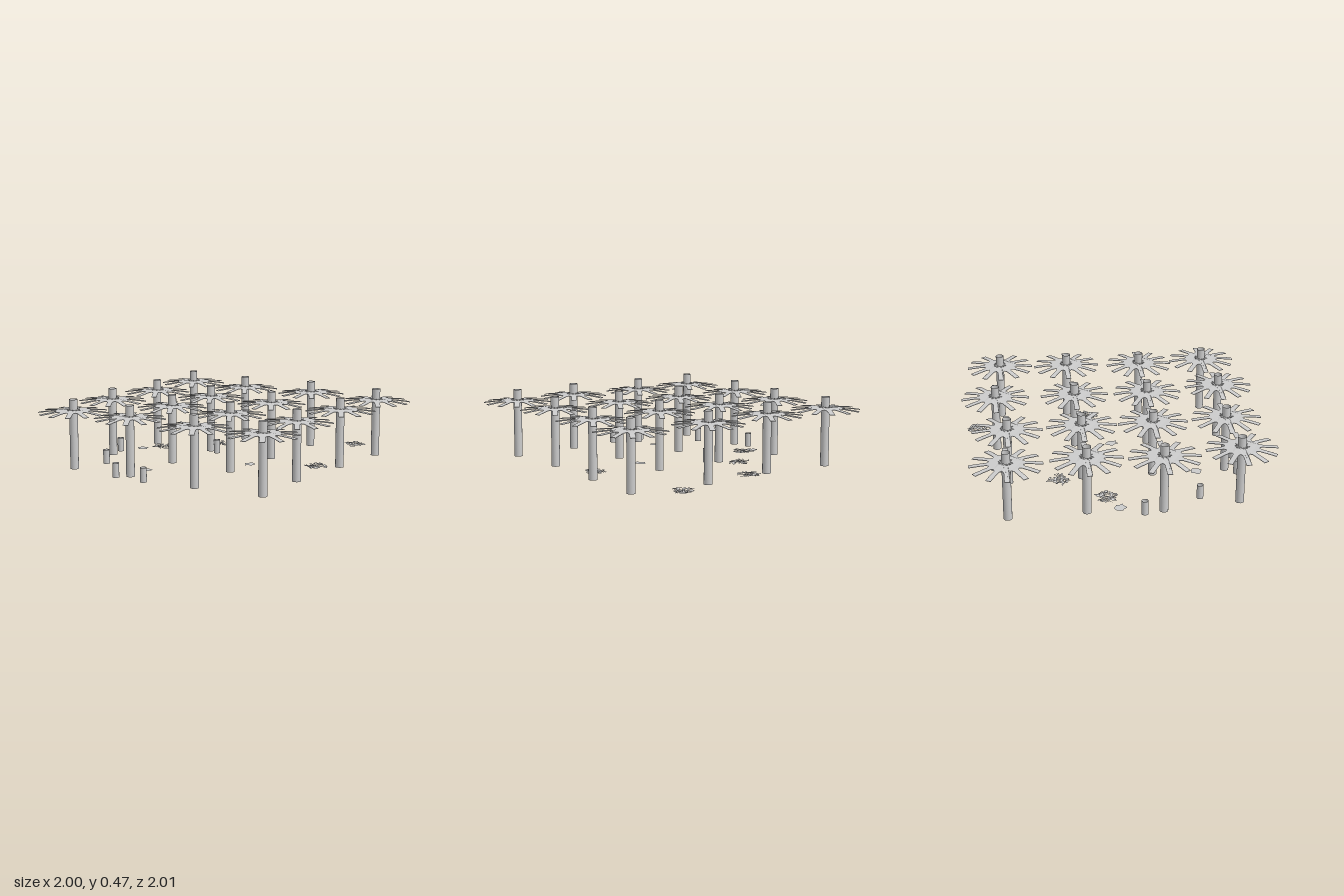
import * as THREE from 'three';
import { mergeGeometries } from 'three/addons/utils/BufferGeometryUtils.js';

const TRUNK_R = 0.028, TRUNK_H = 0.465, LEAF_R = 0.23;

// centres as [x, z]
const TREES = [
  [-0.765, -0.74], [-0.29, -0.715], [0.225, -0.775], [0.765, -0.725],
  [-0.74, -0.24], [-0.27, -0.23], [0.22, -0.235], [0.74, -0.25],
  [-0.77, 0.245], [-0.27, 0.24], [0.21, 0.265], [0.71, 0.27],
  [-0.705, 0.745], [-0.255, 0.73], [0.27, 0.77], [0.74, 0.73],
];
const STUMPS = [[-0.80, 0.12], [-0.63, 0.5], [-0.32, 0.8], [-0.09, 0.815], [-0.195, -0.19]];
const HEAPS = [[0.515, -0.905], [-0.11, -0.76], [-0.32, -0.385], [0.64, -0.11], [-0.585, -0.10]];
const FLAT_LEAVES = [[-0.71, -0.03], [0.21, 0.02], [-0.27, 0.54]];

function seeded(seed) {
  return () => {
    seed = (seed * 16807) % 2147483647;
    return seed / 2147483647;
  };
}

// Twelve-armed crown: one outline with rounded notches, bowed down to the tips
function crownGeometry() {
  const arms = 12, half = 0.0175, notch = 0.108, steps = 5;
  const pts = [];
  for (let i = 0; i < arms; i++) {
    const a = (i / arms) * Math.PI * 2;
    const put = (u, v) => pts.push(new THREE.Vector2(
      u * Math.cos(a) - v * Math.sin(a), u * Math.sin(a) + v * Math.cos(a)));
    const start = notch + 0.014;
    for (let s = 0; s <= steps; s++) put(start + (LEAF_R - start) * s / steps, -half);
    for (let s = steps; s >= 0; s--) put(start + (LEAF_R - start) * s / steps, half);
    const b = a + Math.PI / arms;
    pts.push(new THREE.Vector2(notch * Math.cos(b), notch * Math.sin(b)));
  }
  const shape = new THREE.Shape(pts);
  shape.holes.push(new THREE.Path().absarc(0, 0, TRUNK_R - 0.002, 0, Math.PI * 2, true));
  const geo = new THREE.ExtrudeGeometry(shape, { depth: 0.003, bevelEnabled: false, curveSegments: 8 });
  geo.rotateX(-Math.PI / 2);
  const p = geo.attributes.position;
  for (let i = 0; i < p.count; i++) {
    const r = Math.hypot(p.getX(i), p.getZ(i)) / LEAF_R;
    p.setY(i, p.getY(i) + 0.391 - 0.016 * r * r);
  }
  geo.computeVertexNormals();
  return geo;
}

// Ragged collar of short scales where the crown meets the trunk
function collarGeometry() {
  const rand = seeded(41), scales = [];
  for (let i = 0; i < 10; i++) {
    const g = new THREE.ConeGeometry(0.009, 0.026, 4);
    g.rotateZ(-1.25 + (rand() - 0.5) * 0.5);
    g.translate(TRUNK_R + 0.008, 0.392 + rand() * 0.004, 0);
    g.rotateY((i + rand() * 0.5) / 10 * Math.PI * 2);
    scales.push(g);
  }
  return mergeGeometries(scales);
}

// Loose heap of thin curled shards
function heapGeometry(seed) {
  const rand = seeded(seed), shards = [];
  for (let i = 0; i < 60; i++) {
    const g = new THREE.PlaneGeometry(0.022 + rand() * 0.024, 0.006 + rand() * 0.008, 2, 1);
    const p = g.attributes.position;
    for (let k = 0; k < p.count; k++) p.setZ(k, (rand() - 0.5) * 0.007);
    g.rotateX(-Math.PI / 2 + (rand() - 0.5) * 0.7);
    g.rotateY(rand() * Math.PI * 2);
    const a = rand() * Math.PI * 2, r = 0.066 * Math.sqrt(rand());
    g.translate(r * Math.cos(a), 0.015 + rand() * 0.013, r * Math.sin(a));
    shards.push(g);
  }
  const geo = mergeGeometries(shards);
  geo.computeVertexNormals();
  return geo;
}

// Flat fallen leaf with an uneven edge
function fallenLeafGeometry(seed) {
  const rand = seeded(seed), pts = [];
  for (let i = 0; i < 14; i++) {
    const a = (i / 14) * Math.PI * 2, r = 0.028 + rand() * 0.024;
    pts.push(new THREE.Vector2(r * Math.cos(a), r * Math.sin(a)));
  }
  return new THREE.ShapeGeometry(new THREE.Shape(pts)).rotateX(-Math.PI / 2).translate(0, 0.005, 0);
}

export function createModel() {
  const model = new THREE.Group();
  model.name = 'palmGrove';
  const thin = new THREE.MeshStandardMaterial({ color: 0xcccccc, side: THREE.DoubleSide });
  const faceted = new THREE.MeshStandardMaterial({ color: 0xcccccc, side: THREE.DoubleSide, flatShading: true });

  const add = (parent, name, geo, mat, x = 0, z = 0) => {
    const mesh = new THREE.Mesh(geo, mat);
    mesh.name = name;
    mesh.position.set(x, 0, z);
    parent.add(mesh);
  };
  // Open tube standing on the ground
  const tube = (r, h) => new THREE.CylinderGeometry(r, r, h, 16, 1, true).translate(0, h / 2, 0);

  // Trees
  const trunk = tube(TRUNK_R, TRUNK_H), crown = crownGeometry(), collar = collarGeometry();
  for (const [x, z] of TREES) {
    const tree = new THREE.Group();
    tree.name = 'tree';
    tree.position.set(x, 0, z);
    add(tree, 'trunk', trunk, thin);
    add(tree, 'crown', crown, faceted);
    add(tree, 'collar', collar, faceted);
    model.add(tree);
  }

  // Stumps
  const stump = tube(0.022, 0.095);
  for (const [x, z] of STUMPS) add(model, 'stump', stump, thin, x, z);

  // Ground litter
  HEAPS.forEach(([x, z], i) => add(model, 'leafHeap', heapGeometry(101 + i * 977), faceted, x, z));
  FLAT_LEAVES.forEach(([x, z], i) => add(model, 'fallenLeaf', fallenLeafGeometry(57 + i * 613), thin, x, z));

  return model;
}
